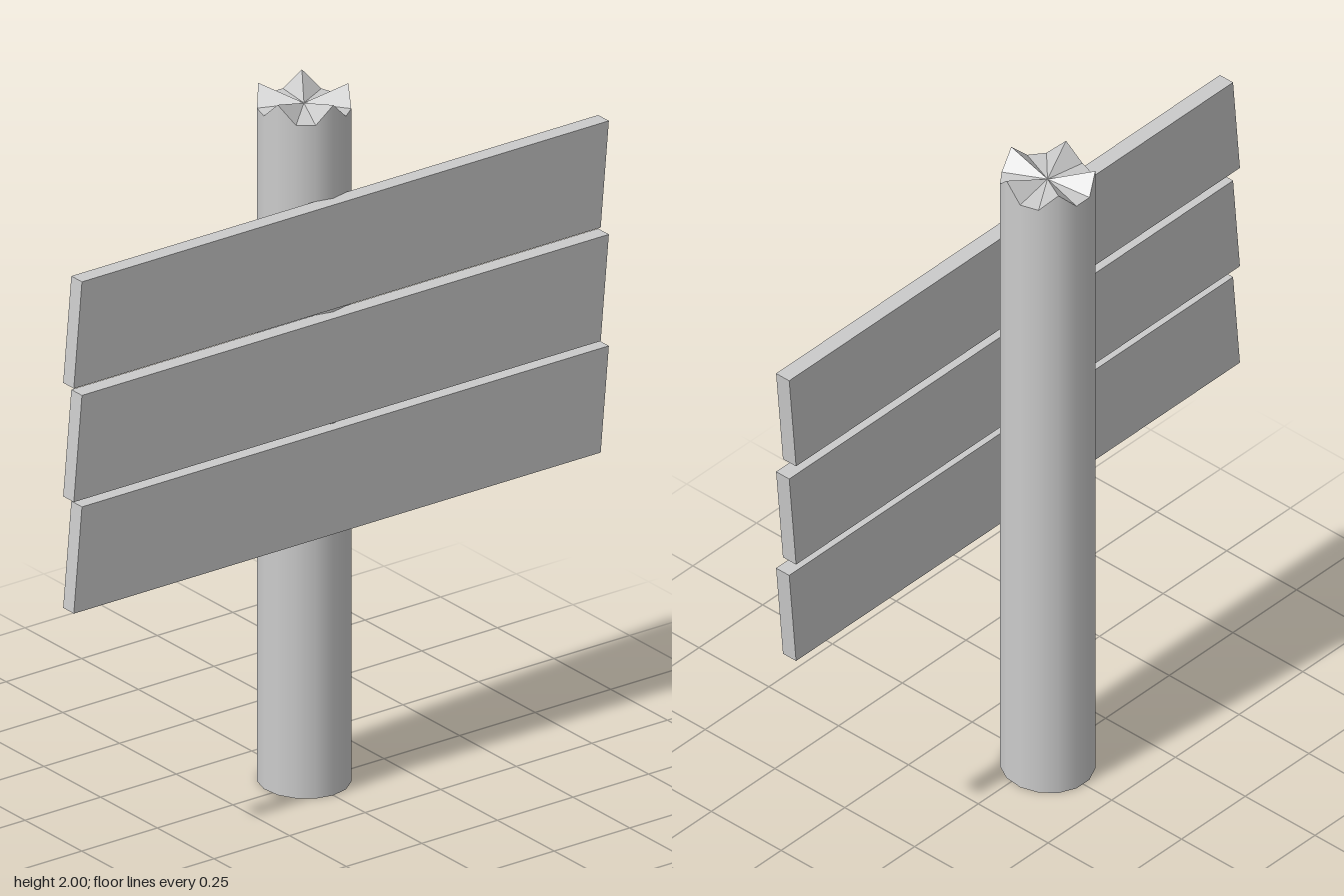
import * as THREE from 'three';

const SIDES = 15;
const RX = 0.13, RZ = 0.123;   // slightly oval post
const POST_X = -0.02;
const PEAK = 2, VALLEY = 1.95, CORE = 1.96;

// every third rim corner is a splintered peak
const rimHeight = (i) => (i % 3 === 0 ? PEAK : VALLEY);

export function createModel() {
  const group = new THREE.Group();
  const grey = (options = {}) => new THREE.MeshStandardMaterial({ color: 0xcccccc, ...options });
  const add = (name, geometry, material) => {
    const mesh = new THREE.Mesh(geometry, material);
    mesh.name = name;
    group.add(mesh);
    return mesh;
  };

  // post wall: smooth tube, open underneath, with a jagged upper rim
  const wall = new THREE.CylinderGeometry(1, 1, 2, SIDES, 1, true, Math.PI / 2);
  wall.translate(0, 1, 0).scale(RX, 1, RZ);
  for (let i = 0; i <= SIDES; i++) wall.attributes.position.setY(i, rimHeight(i));
  add('post', wall, grey({ side: THREE.DoubleSide })).position.x = POST_X;

  // broken top: fan from the core to the jagged rim
  const top = new THREE.CircleGeometry(1, SIDES);
  top.rotateX(-Math.PI / 2).scale(RX, 1, RZ);
  top.attributes.position.setY(0, CORE);
  for (let i = 0; i <= SIDES; i++) top.attributes.position.setY(i + 1, rimHeight(i));
  top.computeVertexNormals();
  add('postTop', top, grey({ flatShading: true, side: THREE.DoubleSide })).position.x = POST_X;

  // three boards with slanted ends, running along z on the +x side of the post
  const outline = new THREE.Shape([
    new THREE.Vector2(-0.885, 0),
    new THREE.Vector2(0.858, 0),
    new THREE.Vector2(0.885, 0.302),
    new THREE.Vector2(-0.858, 0.302),
  ]);
  const board = new THREE.ExtrudeGeometry(outline, { depth: 0.047, bevelEnabled: false });
  board.rotateY(Math.PI / 2);
  [['lowerBoard', 0.776], ['middleBoard', 1.099], ['upperBoard', 1.428]].forEach(([name, y]) => {
    add(name, board, grey()).position.set(0.098, y, 0);
  });

  return group;
}
